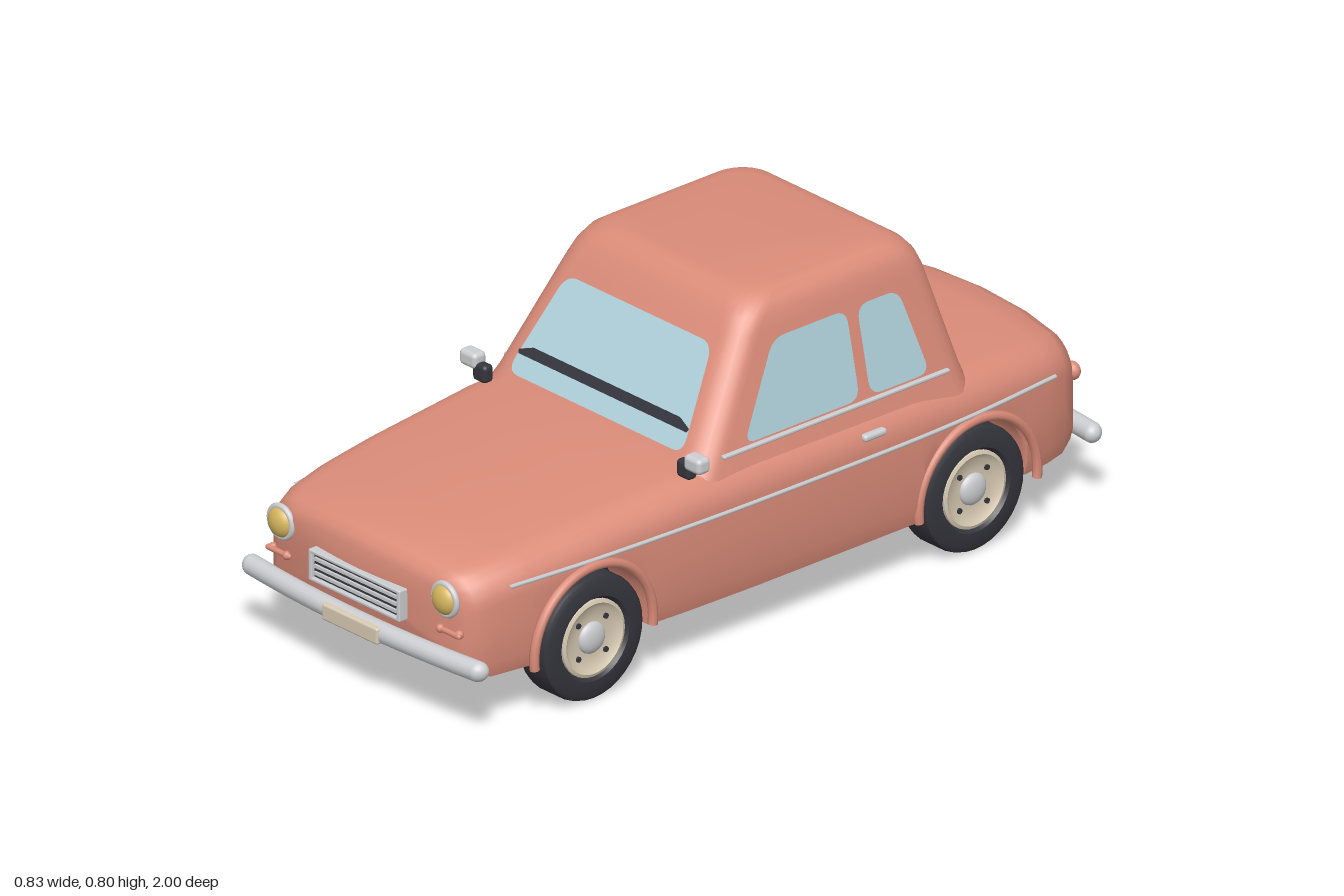
import * as THREE from 'three';
import { toCreasedNormals } from 'three/addons/utils/BufferGeometryUtils.js';
import { RoundedBoxGeometry } from 'three/addons/geometries/RoundedBoxGeometry.js';

const mat = (name, color, side = THREE.FrontSide) => new THREE.MeshStandardMaterial({ name, color, side });
const PAINT = mat('salmon paint', 0xdb8c79);
const CHROME = mat('chrome', 0xcdced1);
const GLASS = mat('window glass', 0xb0d2dc, THREE.DoubleSide);
const RUBBER = mat('tyre rubber', 0x35353d);
const DARK = mat('dark underside', 0x202026, THREE.DoubleSide);
const CREAM = mat('cream', 0xd9ccb4);
const LAMP = mat('lamp yellow', 0xd6b75f);

// Lower body stations: z, half width, top, bottom
const STATIONS = [
  [-0.972, 0.315, 0.385, 0.19], [-0.96, 0.343, 0.415, 0.155], [-0.92, 0.36, 0.436, 0.137],
  [-0.85, 0.375, 0.445, 0.135], [-0.6, 0.4, 0.462, 0.135], [-0.4, 0.41, 0.47, 0.135],
  [0.1, 0.41, 0.472, 0.135], [0.3, 0.405, 0.467, 0.135], [0.6, 0.39, 0.446, 0.135],
  [0.78, 0.376, 0.43, 0.135], [0.9, 0.36, 0.416, 0.135], [0.945, 0.345, 0.404, 0.14],
  [0.963, 0.328, 0.39, 0.155], [0.972, 0.3, 0.37, 0.185],
];
const AXLES = [0.6, -0.58], AXLE_Y = 0.16, ARCH_R = 0.176;

function station(z) {
  let i = 0;
  while (i < STATIONS.length - 2 && z > STATIONS[i + 1][0]) i++;
  const a = STATIONS[i], b = STATIONS[i + 1];
  const t = THREE.MathUtils.clamp((z - a[0]) / (b[0] - a[0]), 0, 1);
  return a.map((v, k) => v + (b[k] - v) * t);
}

// Skin closed rings of equal length, with a fan on both ends
function loft(rings, crease) {
  const n = rings[0].length, pos = rings.flat(2), idx = [];
  for (let i = 0; i < rings.length - 1; i++) {
    for (let j = 0; j < n; j++) {
      const a = i * n + j, b = i * n + (j + 1) % n;
      idx.push(a, b, b + n, a, b + n, a + n);
    }
  }
  [rings[0], rings[rings.length - 1]].forEach((ring, end) => {
    const c = pos.length / 3, start = end ? (rings.length - 1) * n : 0;
    pos.push(0, 1, 2).toString();
    for (let k = 0; k < 3; k++) {
      const v = ring.map(p => p[k]);
      pos[c * 3 + k] = k === 0 ? 0 : k === 2 && end ? Math.max(...v) : (Math.min(...v) + Math.max(...v)) / 2;
    }
    for (let j = 0; j < n; j++) {
      const a = start + j, b = start + (j + 1) % n;
      if (end) idx.push(c, a, b); else idx.push(c, b, a);
    }
  });
  const g = new THREE.BufferGeometry();
  g.setAttribute('position', new THREE.Float32BufferAttribute(pos, 3));
  g.setIndex(idx);
  return toCreasedNormals(g, crease);
}

// Lower body with wheel arches cut into the bottom edge
function bodyGeometry() {
  const cuts = [];
  for (const c of AXLES) {
    for (const s of [-1, 1]) cuts.push([c + s * (ARCH_R + 0.001), 0.135]);
    for (let i = 0; i <= 14; i++) {
      const a = i / 14 * Math.PI;
      cuts.push([c + ARCH_R * Math.cos(a), AXLE_Y + ARCH_R * Math.sin(a)]);
    }
  }
  for (const s of STATIONS) if (AXLES.every(c => Math.abs(s[0] - c) > ARCH_R + 0.002)) cuts.push([s[0], s[3]]);
  cuts.sort((p, q) => p[0] - q[0]);
  const rings = cuts.map(([z, bot]) => {
    const [, w, top] = station(z), ys = top - 0.1, half = [];
    half.push([w - 0.012, bot], [w, bot + (ys - bot) * 0.2], [w, bot + (ys - bot) * 0.6]);
    for (let i = 0; i <= 6; i++) {
      const a = i / 6 * Math.PI / 2;
      half.push([w - 0.09 * (1 - Math.cos(a)), ys + 0.085 * Math.sin(a)]);
    }
    half.push([w * 0.45, top - 0.004]);
    const all = [...half, [0, top], ...half.slice().reverse().map(([x, y]) => [-x, y])];
    const bow = 0.25 * Math.sign(z) * THREE.MathUtils.smoothstep(Math.abs(z), 0.7, 0.97);
    return all.map(([x, y]) => [x, y, z - bow * x * x]);
  });
  return loft(rings, 0.7);
}

// Cabin rings: y, half width, front z, back z, corner radius
function cabinGeometry() {
  const rows = [
    [0.41, 0.388, 0.29, -0.61, 0.075], [0.47, 0.37, 0.24, -0.59, 0.07], [0.72, 0.315, 0.08, -0.525, 0.065],
    [0.755, 0.307, 0.057, -0.512, 0.07], [0.78, 0.294, 0.035, -0.493, 0.075],
    [0.795, 0.272, 0.01, -0.468, 0.075], [0.8, 0.245, -0.02, -0.44, 0.075],
  ];
  return loft(rows.map(([y, w, zf, zb, r]) => {
    const ring = [];
    for (let k = 0; k < 4; k++) {
      const cz = k === 0 || k === 3 ? zf - r : zb + r, cx = k < 2 ? w - r : r - w;
      for (let i = 0; i <= 6; i++) {
        const a = (k + i / 6) * Math.PI / 2;
        ring.push([cx + r * Math.sin(a), y, cz + r * Math.cos(a)]);
      }
    }
    return ring;
  }), 0.9);
}

// Flat polygon with rounded corners, placed on a sloping surface
function panel(points, r, place) {
  const p = points.map(q => new THREE.Vector2(...q)), s = new THREE.Shape();
  p.forEach((c, i) => {
    const toward = q => c.clone().add(q.clone().sub(c).setLength(r));
    const a = toward(p[(i + p.length - 1) % p.length]), b = toward(p[(i + 1) % p.length]);
    if (i) s.lineTo(a.x, a.y); else s.moveTo(a.x, a.y);
    s.quadraticCurveTo(c.x, c.y, b.x, b.y);
  });
  const g = new THREE.ShapeGeometry(s, 6), v = g.attributes.position;
  for (let i = 0; i < v.count; i++) v.setXYZ(i, ...place(v.getX(i), v.getY(i)));
  g.computeVertexNormals();
  return g;
}

function add(parent, name, geometry, material, x = 0, y = 0, z = 0) {
  const m = new THREE.Mesh(geometry, material);
  m.name = name;
  m.position.set(x, y, z);
  parent.add(m);
  return m;
}

function buildWheel(z) {
  const wheel = new THREE.Group();
  wheel.name = z > 0 ? 'frontWheel' : 'rearWheel';
  const lathe = pts => toCreasedNormals(new THREE.LatheGeometry(pts.map(q => new THREE.Vector2(...q)), 36), 0.7);
  add(wheel, 'tyre', lathe([[0, -0.03], [0.09, -0.03], [0.1, -0.05], [0.14, -0.05], [0.152, -0.043], [0.156, -0.03],
    [0.156, 0.03], [0.152, 0.043], [0.14, 0.05], [0.105, 0.05], [0.094, 0.035], [0, 0.03]]), RUBBER);
  add(wheel, 'rim', lathe([[0.097, 0.03], [0.096, 0.045], [0.088, 0.048], [0.075, 0.038], [0.045, 0.036], [0, 0.036]]), CREAM);
  add(wheel, 'hubCap', new THREE.SphereGeometry(0.04, 24, 12), CHROME, 0, 0.036, 0).scale.y = 0.45;
  for (let i = 0; i < 4; i++) {
    const a = (i + 0.5) * Math.PI / 2;
    add(wheel, 'wheelNut', new THREE.CylinderGeometry(0.007, 0.007, 0.01, 8), RUBBER, 0.06 * Math.cos(a), 0.037, 0.06 * Math.sin(a));
  }
  wheel.rotation.z = -Math.PI / 2;
  wheel.position.set(0.35, AXLE_Y, z);
  return wheel;
}

// Everything on the model's left; mirrored for the right
function buildSide() {
  const side = new THREE.Group();
  const onSide = (z, y) => [0.375 - 0.22 * (y - 0.47), y, z];
  add(side, 'frontSideWindow', panel([[0.112, 0.488], [-0.018, 0.7], [-0.245, 0.7], [-0.245, 0.488]], 0.035, onSide), GLASS);
  add(side, 'rearSideWindow', panel([[-0.278, 0.488], [-0.278, 0.7], [-0.405, 0.7], [-0.462, 0.488]], 0.035, onSide), GLASS);
  add(side, 'beltTrim', new RoundedBoxGeometry(0.014, 0.01, 0.7, 2, 0.004), CHROME, 0.371, 0.476, -0.17);
  const line = [0.84, 0.6, 0.3, 0.1, -0.4, -0.6, -0.85].map(z => new THREE.Vector3(station(z)[1], 0.356, z - 0.02 * Math.max(0, Math.abs(z) - 0.7) * Math.sign(z)));
  add(side, 'sideTrim', new THREE.TubeGeometry(new THREE.CatmullRomCurve3(line), 40, 0.006, 6), CHROME);
  add(side, 'doorHandle', new RoundedBoxGeometry(0.022, 0.018, 0.07, 3, 0.008), CHROME, 0.402, 0.406, -0.26);
  add(side, 'mirrorStalk', new RoundedBoxGeometry(0.045, 0.045, 0.03, 2, 0.01), RUBBER, 0.348, 0.47, 0.27);
  add(side, 'mirror', new RoundedBoxGeometry(0.057, 0.04, 0.04, 3, 0.012), CHROME, 0.383, 0.495, 0.27);
  for (const z of AXLES) {
    const lip = new THREE.TorusGeometry(0.184, 0.012, 8, 32, Math.PI + 0.24).rotateZ(-0.12).rotateY(Math.PI / 2);
    add(side, 'wheelArchLip', lip, PAINT, station(z)[1] + 0.004, AXLE_Y, z);
    side.add(buildWheel(z));
  }
  add(side, 'headlightRing', new THREE.TorusGeometry(0.038, 0.008, 10, 32), CHROME, 0.28, 0.333, 0.956);
  add(side, 'headlight', new THREE.SphereGeometry(0.038, 24, 16), LAMP, 0.28, 0.333, 0.956).scale.z = 0.65;
  add(side, 'frontIndicator', new THREE.CapsuleGeometry(0.007, 0.07, 4, 10).rotateZ(Math.PI / 2), PAINT, 0.29, 0.253, 0.955);
  for (const x of [0.262, 0.318]) add(side, 'indicatorEnd', new THREE.SphereGeometry(0.011, 12, 8), PAINT, x, 0.253, 0.972 - 0.25 * x * x);
  for (const x of [0.257, 0.328]) add(side, 'rearLight', new THREE.SphereGeometry(0.023, 18, 12), PAINT, x, 0.325, -0.968 + 0.25 * x * x).scale.z = 0.8;
  return side;
}

export function createModel() {
  const car = new THREE.Group();
  car.name = 'car';
  add(car, 'lowerBody', bodyGeometry(), PAINT);
  add(car, 'cabin', cabinGeometry(), PAINT);
  add(car, 'underbody', new THREE.BoxGeometry(0.55, 0.24, 1.5), DARK, 0, 0.233, 0.01);

  // Windscreen, dashboard strip and rear window
  const onFront = (x, y) => [x, y, 0.246 - 0.64 * (y - 0.47)];
  add(car, 'windscreen', panel([[-0.3, 0.48], [0.3, 0.48], [0.248, 0.698], [-0.248, 0.698]], 0.035, onFront), GLASS);
  add(car, 'dashboard', panel([[-0.287, 0.522], [0.287, 0.522], [0.291, 0.53], [0.25, 0.544], [-0.25, 0.544], [-0.291, 0.53]],
    0.003, (x, y) => onFront(x, y).map((v, i) => i === 2 ? v + 0.003 : v)), RUBBER);
  add(car, 'rearWindow', panel([[0.285, 0.488], [-0.285, 0.488], [-0.24, 0.695], [0.24, 0.695]], 0.035,
    (x, y) => [x, y, -0.595 + 0.26 * (y - 0.47)]), GLASS);

  // Grille
  add(car, 'grilleBack', new THREE.BoxGeometry(0.3, 0.07, 0.012), RUBBER, 0, 0.278, 0.97);
  for (const s of [-1, 1]) {
    add(car, 'grilleFrame', new RoundedBoxGeometry(0.312, 0.01, 0.03, 2, 0.004), CHROME, 0, 0.278 + s * 0.035, 0.971);
    add(car, 'grilleFrameEnd', new RoundedBoxGeometry(0.012, 0.08, 0.03, 2, 0.004), CHROME, s * 0.15, 0.278, 0.971);
  }
  for (const y of [0.26, 0.278, 0.296]) add(car, 'grilleBar', new THREE.BoxGeometry(0.28, 0.008, 0.022), CHROME, 0, y, 0.971);

  // Bumpers bowed toward their ends, and number plates
  for (const s of [1, -1]) {
    const g = new THREE.CapsuleGeometry(0.025, 0.77, 8, 16, 16).rotateZ(Math.PI / 2), v = g.attributes.position;
    for (let i = 0; i < v.count; i++) v.setZ(i, v.getZ(i) - s * 0.15 * v.getX(i) ** 2);
    g.computeVertexNormals();
    add(car, s > 0 ? 'frontBumper' : 'rearBumper', g, CHROME, 0, 0.185, s * 0.973);
  }
  add(car, 'frontPlate', new RoundedBoxGeometry(0.19, 0.042, 0.02, 2, 0.006), CREAM, 0, 0.184, 0.99);
  add(car, 'rearPlate', new RoundedBoxGeometry(0.2, 0.042, 0.02, 2, 0.006), CREAM, 0, 0.262, -0.972);

  const left = buildSide(), right = buildSide();
  left.name = 'leftSide';
  right.name = 'rightSide';
  right.scale.x = -1;
  car.add(left, right);
  return car;
}
